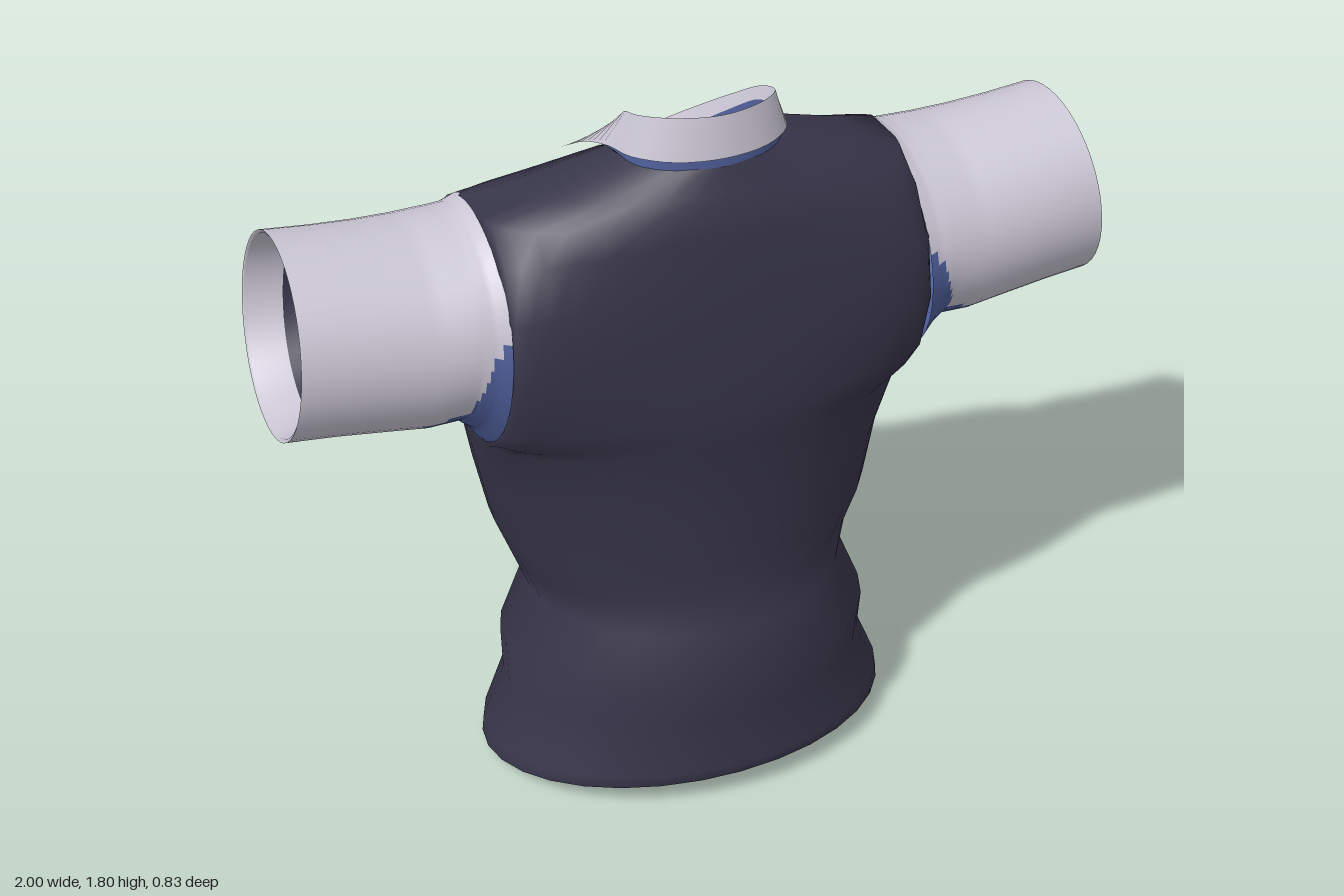
import * as THREE from 'three';
import { mergeVertices } from 'three/addons/utils/BufferGeometryUtils.js';

const V = (x, y, z) => new THREE.Vector3(x, y, z);
const lerp = THREE.MathUtils.lerp;
const mixRow = (a, b, f) => a.map((v, k) => lerp(v, b[k], f));

const paint = (name, color, side = THREE.FrontSide) => {
  const m = new THREE.MeshStandardMaterial({ color, side });
  m.name = name;
  return m;
};

// Surface through rows of points; pick(row, column) chooses a material index per quad
function grid(rows, { closed = false, flip = false, pick = () => 0 } = {}) {
  const n = rows[0].length, cols = closed ? n : n - 1;
  const faces = [[], []];
  for (let r = 0; r < rows.length - 1; r++) {
    for (let i = 0; i < cols; i++) {
      const j = (i + 1) % n;
      const a = r * n + i, b = r * n + j, c = b + n, d = a + n;
      faces[pick(r, i)].push(...(flip ? [a, c, b, a, d, c] : [a, b, c, a, c, d]));
    }
  }
  let g = new THREE.BufferGeometry().setFromPoints(rows.flat());
  g.setIndex([...faces[0], ...faces[1]]);
  g = mergeVertices(g, 1e-4);
  g.addGroup(0, faces[0].length, 0);
  if (faces[1].length) g.addGroup(faces[0].length, faces[1].length, 1);
  g.computeVertexNormals();
  return g;
}

// Torso rows: side y, front y, back y, half width, side centre z, side half depth, front z, back z
const TORSO = [
  [0.035, 0.002, 0.075, 0.525, 0.03, 0, -0.34, 0.41],
  [0.08, 0.05, 0.11, 0.52, 0.03, 0, -0.34, 0.42],
  [0.22, 0.19, 0.24, 0.462, 0.03, 0, -0.33, 0.39],
  [0.34, 0.32, 0.34, 0.465, 0.03, 0, -0.335, 0.415],
  [0.50, 0.48, 0.48, 0.40, 0.03, 0, -0.305, 0.365],
  [0.58, 0.56, 0.57, 0.43, 0.02, 0, -0.325, 0.33],
  [0.70, 0.66, 0.65, 0.475, 0.01, 0, -0.355, 0.345],
  [0.85, 0.80, 0.80, 0.505, 0.01, 0.01, -0.395, 0.33],
  [1.00, 1.00, 1.00, 0.53, 0.03, 0.05, -0.415, 0.355],
  [1.04, 1.04, 1.04, 0.526, 0.03, 0.14, -0.413, 0.357],
  [1.10, 1.10, 1.10, 0.52, 0.03, 0.21, -0.41, 0.36],
  [1.25, 1.25, 1.25, 0.512, 0.03, 0.27, -0.37, 0.355],
  [1.40, 1.40, 1.40, 0.508, 0.03, 0.25, -0.285, 0.34],
  [1.50, 1.49, 1.53, 0.506, 0.03, 0.18, -0.21, 0.32],
  [1.57, 1.515, 1.58, 0.505, 0.04, 0.06, -0.19, 0.31],
  [1.615, 1.535, 1.62, 0.38, 0.06, 0.03, -0.175, 0.29],
  [1.68, 1.56, 1.675, 0.20, 0.08, 0, -0.15, 0.265],
];

function torsoPoint([ys, yf, yb, hw, c, s, zf, zb], t, front) {
  const k = Math.sin(t), side = front ? c - s : c + s;
  return V(hw * Math.cos(t), lerp(ys, front ? yf : yb, k), lerp(side, front ? zf : zb, k));
}

function torsoRing(row) {
  const N = 16, pts = [];
  for (let i = 0; i <= N; i++) pts.push(torsoPoint(row, (Math.PI * i) / N, true));
  for (let i = 0; i <= N; i++) pts.push(torsoPoint(row, Math.PI - (Math.PI * i) / N, false));
  return pts;
}

// Point on the chest for a given x and centre-line height
function chestPoint(x, y, lift) {
  let i = 0;
  while (i < TORSO.length - 2 && TORSO[i + 1][1] < y) i++;
  const f = (y - TORSO[i][1]) / (TORSO[i + 1][1] - TORSO[i][1]);
  const row = mixRow(TORSO[i], TORSO[i + 1], f);
  return torsoPoint(row, Math.acos(x / row[3]), true).add(V(0, lift * 0.55, -lift * 0.83));
}

// Panel lying on the chest, from [height, half width] pairs, bulging in the middle
function chestPanel(profile, lift, bulge) {
  const rows = [];
  for (let p = 0; p < profile.length - 1; p++) {
    for (let k = p ? 1 : 0; k <= 4; k++) {
      const [y, w] = mixRow(profile[p], profile[p + 1], k / 4);
      rows.push(Array.from({ length: 9 }, (_, i) => {
        const u = 1 - i / 4;
        return chestPoint(w * u, y, lift + bulge * (1 - u * u));
      }));
    }
  }
  return grid(rows);
}

// Curve mirrored about x = 0, from the front of one side round the back
function neckCurve(half) {
  const pts = [
    ...half.map(([x, y, z]) => V(-x, y, z)),
    ...half.slice(0, -1).reverse().map(([x, y, z]) => V(x, y, z)),
  ];
  return new THREE.CatmullRomCurve3(pts).getPoints(48);
}

// Neck curve drawn towards the neck axis and lowered
const drawIn = (curve, sx, sz, drop) =>
  curve.map((p) => V(p.x * sx, p.y - drop, 0.06 + (p.z - 0.06) * sz));

// Sleeve rows: x at top, x at bottom, top y, bottom y, front z, back z
const SLEEVE = [
  [0.495, 0.53, 1.57, 0.995, -0.245, 0.305],
  [0.53, 0.56, 1.555, 1.04, -0.235, 0.295],
  [0.56, 0.60, 1.55, 1.075, -0.235, 0.29],
  [0.65, 0.68, 1.545, 1.07, -0.24, 0.285],
  [0.74, 0.78, 1.552, 1.085, -0.225, 0.28],
  [0.84, 0.89, 1.562, 1.10, -0.215, 0.275],
  [0.95, 1.00, 1.575, 1.11, -0.21, 0.27],
];
const SIDES = 48, STEPS = 5;
const SLEEVE_FINE = Array.from({ length: (SLEEVE.length - 1) * STEPS + 1 }, (_, k) => {
  const i = Math.min(Math.floor(k / STEPS), SLEEVE.length - 2);
  return mixRow(SLEEVE[i], SLEEVE[i + 1], k / STEPS - i);
});

function sleeveRing([xt, xb, yt, yb, zf, zb], sx, shrink = 1, inset = 0) {
  return Array.from({ length: SIDES }, (_, i) => {
    const a = (i / SIDES) * Math.PI * 2, c = Math.cos(a);
    return V(
      sx * (lerp(xb, xt, (c + 1) / 2) - inset),
      (yt + yb) / 2 + (c * shrink * (yt - yb)) / 2,
      (zf + zb) / 2 + (Math.sin(a) * shrink * (zb - zf)) / 2
    );
  });
}

// Blue underside: the armhole gusset, then a rounded patch that is longer at the front
function sleevePick(r, i) {
  const a = ((i + 0.5) / SIDES) * 360 - 180;
  const front = a > 0, down = Math.abs(a);
  if (r < 2 * STEPS) {
    const reach = front ? 85 : 105;
    return down < reach * (1 - 0.4 * (r / (2 * STEPS)) ** 2) ? 1 : 0;
  }
  const along = (r + 0.5 - 2 * STEPS) / ((front ? 2.9 : 1.9) * STEPS);
  return along < 1 && down < (front ? 60 : 50) * Math.sqrt(1 - along ** 3) ? 1 : 0;
}

export function createModel() {
  const model = new THREE.Group();
  const navy = paint('vest navy', 0x373549);
  const white = paint('shirt white', 0xcbc7d5);
  const blue = paint('shade blue', 0x50609c, THREE.DoubleSide);
  const orange = paint('tie orange', 0xd66c2e, THREE.DoubleSide);
  const black = paint('lining black', 0x000000, THREE.DoubleSide);

  const add = (name, geometry, material, parent = model) => {
    const m = new THREE.Mesh(geometry, material);
    m.name = name;
    parent.add(m);
    return m;
  };

  // Vest, its dark inside and the dark floor at the hem
  const rings = TORSO.map(torsoRing);
  add('vest', grid(rings, { closed: true }), navy);
  const lining = rings.map((ring) => ring.map((p) => V(p.x * 0.985, p.y, 0.03 + (p.z - 0.03) * 0.985)));
  add('vestLining', grid(lining, { closed: true, flip: true }), black);
  add('hemFloor', grid([rings[0], rings[0].map(() => V(0, 0.038, 0.035))], { closed: true }), black);

  // Shirt front and tie in the V neck
  add('shirtFront', chestPanel([[1.22, 0.002], [1.3, 0.057], [1.4, 0.11], [1.5, 0.152], [1.558, 0.16]], 0.006, 0), white);
  add('tieBlade', chestPanel([[1.222, 0.002], [1.37, 0.09], [1.5, 0.042]], 0.01, 0.026), orange);
  const knot = add('tieKnot', new THREE.SphereGeometry(1, 10, 8), orange);
  knot.position.set(0, 1.515, -0.2);
  knot.rotation.x = 0.65;
  knot.scale.set(0.066, 0.056, 0.036);

  // Turned-down collar with a blue underside
  const top = neckCurve([
    [0.012, 1.595, -0.14], [0.07, 1.645, -0.08], [0.13, 1.71, 0.01],
    [0.163, 1.765, 0.1], [0.16, 1.79, 0.18], [0.1, 1.797, 0.235], [0, 1.797, 0.26],
  ]);
  const bottom = neckCurve([
    [0.22, 1.565, -0.16], [0.235, 1.61, -0.08], [0.225, 1.665, 0.02],
    [0.207, 1.693, 0.11], [0.185, 1.70, 0.19], [0.11, 1.70, 0.252], [0, 1.70, 0.275],
  ]);
  add('collar', grid([bottom, top]), white);
  add('collarUnderside', grid([bottom, top], { flip: true }), blue);

  // Collar stand: white at the fold, blue lower down
  const fold = drawIn(top, 0.92, 0.88, 0.035);
  add('collarFold', grid([fold, top], { flip: true }), white);
  add('collarStand', grid([drawIn(top, 0.9, 0.84, 0.085), fold], { flip: true }), blue);

  // Blue band showing between collar and vest
  const edge = bottom.slice(10, 39);
  add('collarBand', grid([drawIn(edge, 0.94, 0.94, 0.035), drawIn(edge, 0.94, 0.94, -0.01)]), blue);

  // Sleeves with a turned-in cuff and a dark inside
  const cuff = SLEEVE[SLEEVE.length - 1];
  for (const sx of [1, -1]) {
    const sleeve = new THREE.Group();
    sleeve.name = sx > 0 ? 'leftSleeve' : 'rightSleeve';
    model.add(sleeve);
    const opts = { closed: true, flip: sx < 0 };
    const outer = SLEEVE_FINE.map((r) => sleeveRing(r, sx));
    add('sleeve', grid(outer, { ...opts, pick: sleevePick }), [white, blue], sleeve);
    const inner = [[1, 0], [0.965, 0.005], [0.925, 0.09], [0.9, 0.13], [0, 0.13]]
      .map(([shrink, inset]) => sleeveRing(cuff, sx, shrink, inset));
    add('cuffInside', grid(inner.slice(0, 3), opts), white, sleeve);
    add('cuffShade', grid(inner.slice(2, 4), opts), navy, sleeve);
    add('sleeveInside', grid(inner.slice(3), opts), black, sleeve);
  }
  return model;
}
